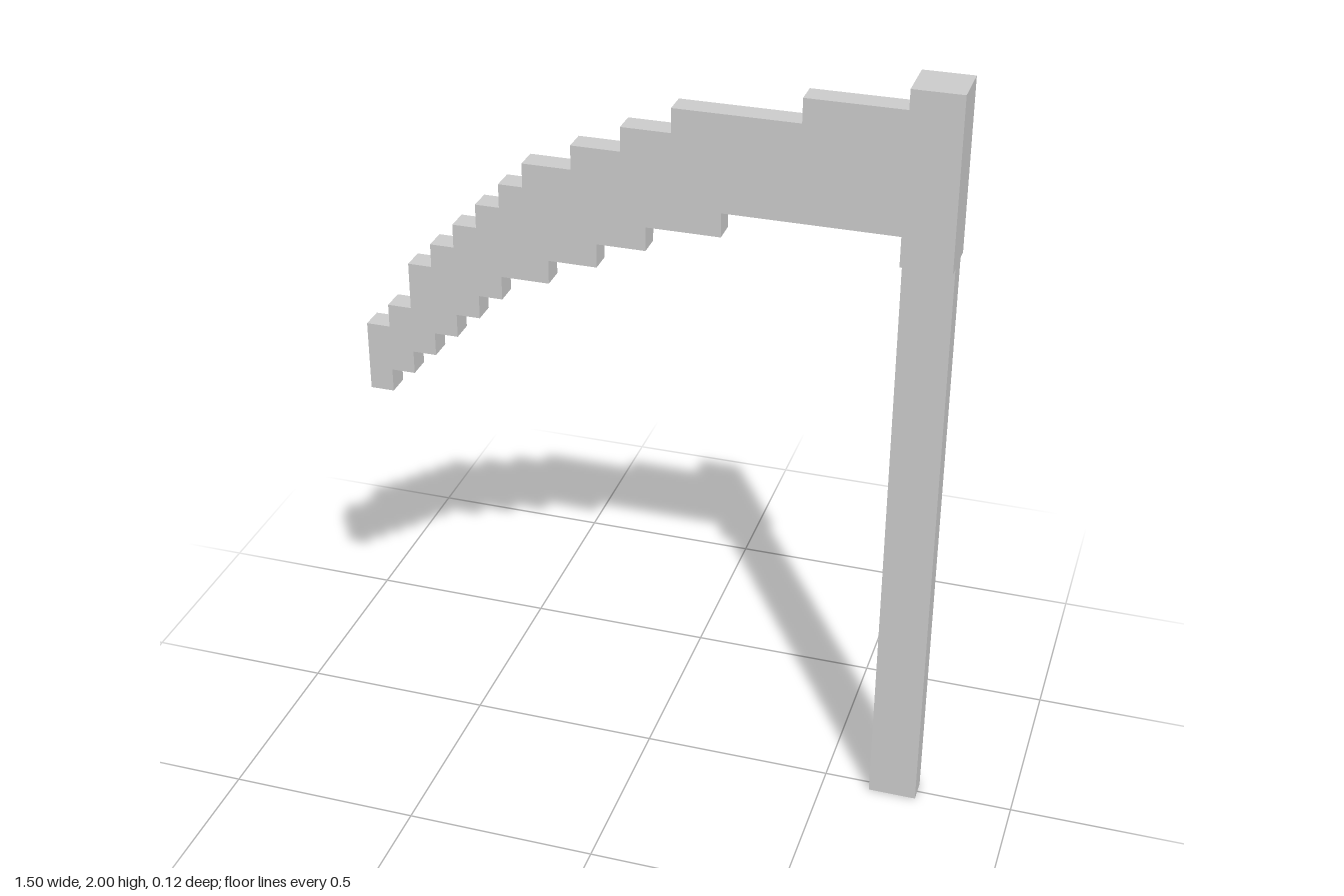
import * as THREE from 'three';

const U = 1 / 16; // one block of the model's grid
const material = new THREE.MeshStandardMaterial({ color: 0xcccccc, flatShading: true });

function addMesh(group, name, geometry) {
  const mesh = new THREE.Mesh(geometry, material);
  mesh.name = name;
  group.add(mesh);
  return mesh;
}

// Box given by its x range, y range and depth, in blocks, centred on z = 0
function addBox(group, name, x0, x1, y0, y1, depth) {
  const geometry = new THREE.BoxGeometry((x1 - x0) * U, (y1 - y0) * U, depth * U);
  addMesh(group, name, geometry).position.set(((x0 + x1) / 2) * U, ((y0 + y1) / 2) * U, 0);
}

// Corners of a staircase: each step is [start x, height], the last one ends at endX
function staircase(steps, endX) {
  return steps.flatMap(([x, y], i) => {
    const next = i + 1 < steps.length ? steps[i + 1][0] : endX;
    return [new THREE.Vector2(x * U, y * U), new THREE.Vector2(next * U, y * U)];
  });
}

export function createModel() {
  const model = new THREE.Group();
  model.name = 'scythe';

  // Long handle and the thicker block that holds the blade
  addBox(model, 'handle', 10, 12, 0, 25, 1);
  addBox(model, 'headBlock', 10, 12, 25, 32, 2);

  // Curved blade with stepped upper and lower edges
  const lower = [[-12, 16], [-11, 17], [-10, 18], [-9, 19], [-8, 20], [-7, 21],
    [-6, 22], [-4, 23], [-2, 24], [0, 25], [3, 26]];
  const upper = [[-12, 19], [-11, 20], [-10, 22], [-9, 23], [-8, 24], [-7, 25],
    [-6, 26], [-5, 27], [-3, 28], [-1, 29], [1, 30], [6, 31]];
  const outline = [...staircase(lower, 10), ...staircase(upper, 10).reverse()];
  const blade = new THREE.ExtrudeGeometry(new THREE.Shape(outline), { depth: U, bevelEnabled: false });
  blade.translate(0, 0, -U / 2);
  addMesh(model, 'blade', blade);

  return model;
}
